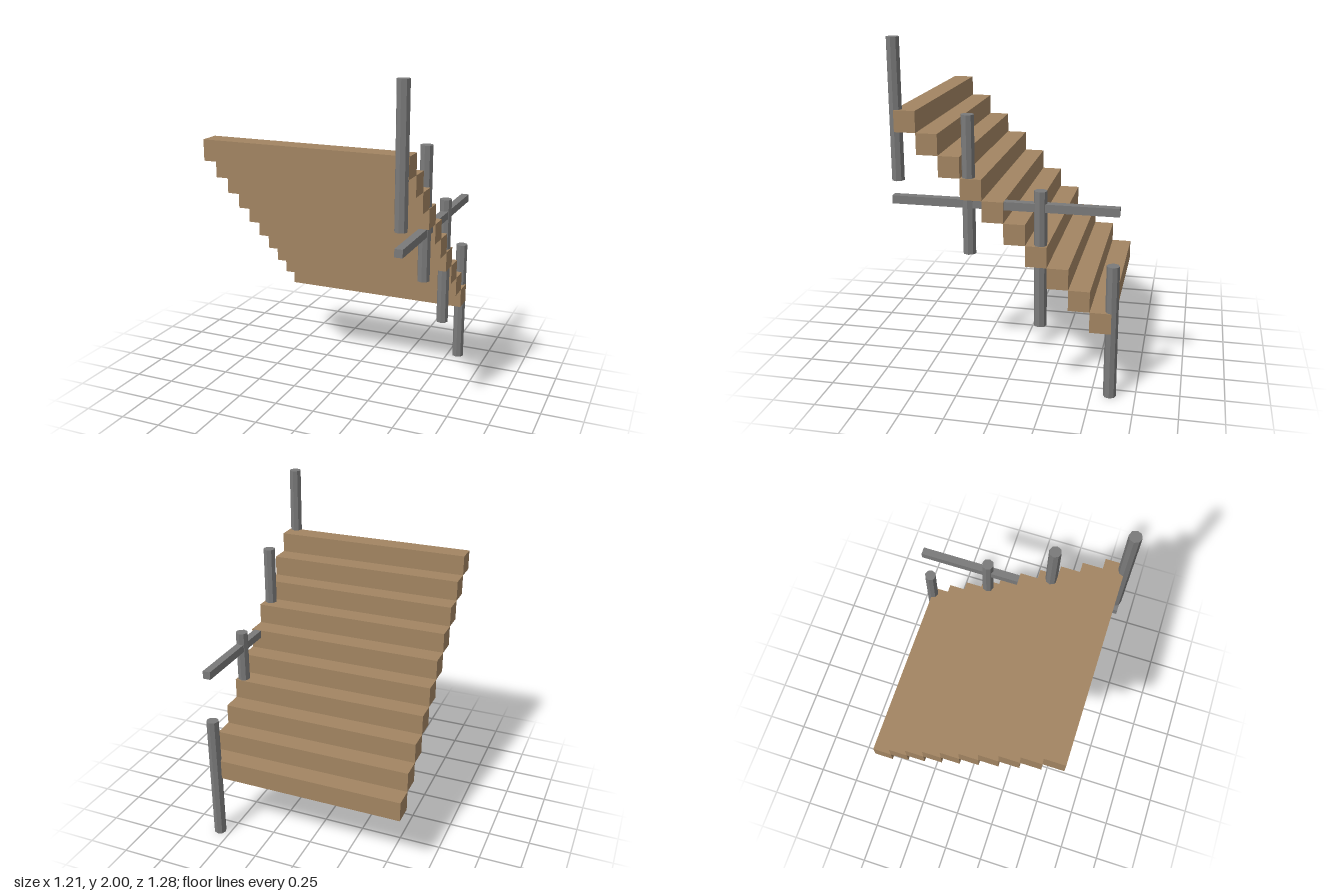
import * as THREE from 'three';

export function createModel() {
  const model = new THREE.Group();
  model.name = 'staircase';

  const wood = new THREE.MeshStandardMaterial({ color: 0xa38562, flatShading: true });
  const metal = new THREE.MeshStandardMaterial({ color: 0x7a7a7a, flatShading: true });

  const add = (name, geometry, material, x, y, z) => {
    const mesh = new THREE.Mesh(geometry, material);
    mesh.name = name;
    mesh.position.set(x, y, z);
    model.add(mesh);
  };

  // Ten solid steps rising towards the front, touching edge to edge
  const steps = 10, size = 0.1212;
  const stepGeometry = new THREE.BoxGeometry(1.212, size, size);
  for (let i = 0; i < steps; i++) {
    add(`step${i + 1}`, stepGeometry, wood, 0, 0.458 + i * size, (i - (steps - 1) / 2) * size);
  }

  // Four octagonal posts along the left edge, following the slope
  const railX = 0.568, postHeight = 0.79, postPitch = 0.4035;
  const postGeometry = new THREE.CylinderGeometry(0.037, 0.037, postHeight, 8);
  for (let i = 0; i < 4; i++) {
    add(`post${i + 1}`, postGeometry, metal, railX, postHeight / 2 + i * postPitch, (i - 1.5) * postPitch);
  }

  // Level rail running through the posts
  add('rail', new THREE.BoxGeometry(0.047, 0.047, 1.27), metal, railX, 1.1, 0.002);

  return model;
}
